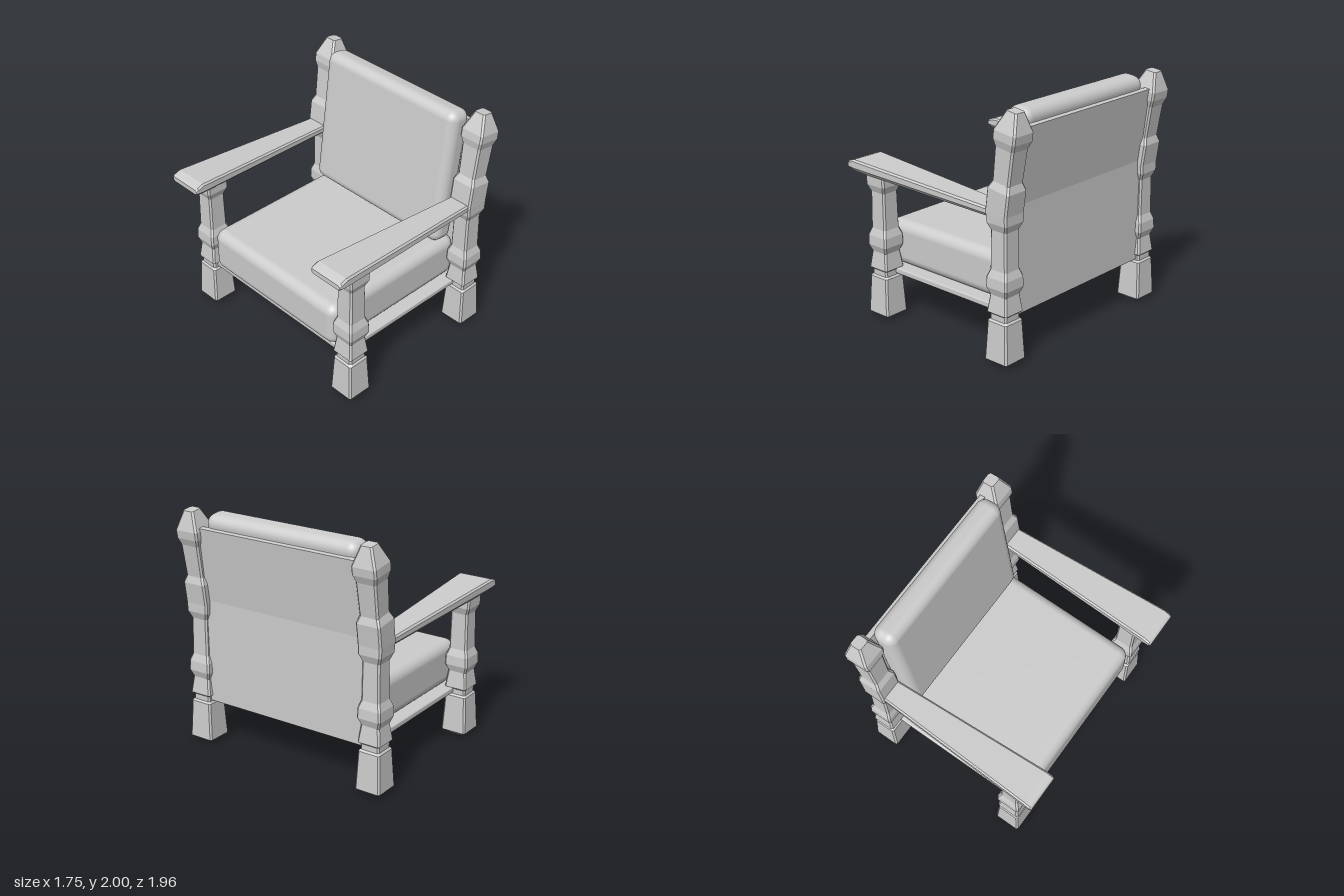
import * as THREE from 'three';
import { RoundedBoxGeometry } from 'three/addons/geometries/RoundedBoxGeometry.js';

const flat = new THREE.MeshStandardMaterial({ color: 0xcccccc, flatShading: true });
const smooth = new THREE.MeshStandardMaterial({ color: 0xcccccc });

// Skin a list of equal-length rings (counter-clockwise seen from the far end), with caps
function loft(rings) {
  const n = rings[0].length, last = (rings.length - 1) * n, index = [];
  for (let r = 0; r < rings.length - 1; r++) {
    for (let i = 0; i < n; i++) {
      const a = r * n + i, b = r * n + (i + 1) % n;
      index.push(a, b, b + n, a, b + n, a + n);
    }
  }
  for (let i = 1; i < n - 1; i++) {
    index.push(0, i + 1, i, last, last + i, last + i + 1);
  }
  const geo = new THREE.BufferGeometry();
  geo.setAttribute('position', new THREE.Float32BufferAttribute(rings.flat(2), 3));
  geo.setIndex(index);
  const out = geo.toNonIndexed();
  out.computeVertexNormals();
  return out;
}

// Square section with chamfered corners, leaning along x by the given slope
function postRing(x, y, h, slope = 0) {
  const k = h - 0.014;
  return [[h, k], [k, h], [-k, h], [-h, k], [-h, -k], [-k, -h], [k, -h], [h, -k]]
    .map(([u, v]) => [x + u, y - slope * u, -v]);
}

// Armrest section: small chamfer on top, larger one below
function armRing([x, b, t, w]) {
  const s = 0.014, c = Math.min(0.04, (t - b) * 0.4);
  return [[t, -w + s], [t, w - s], [t - s, w], [b + c, w], [b, w - c], [b, -w + c], [b + c, -w], [t - s, -w]]
    .map(([y, z]) => [x, y, z]);
}

export function createModel() {
  const group = new THREE.Group();
  const add = (name, geo, mat, x = 0, y = 0, z = 0) => {
    const mesh = new THREE.Mesh(geo, mat);
    mesh.name = name;
    mesh.position.set(x, y, z);
    group.add(mesh);
    return mesh;
  };

  // Shared foot and lower turning: [height, half width]
  const lower = [
    [0, 0.06], [0.04, 0.112], [0.355, 0.096], [0.37, 0.082], [0.415, 0.082], [0.43, 0.1],
    [0.57, 0.082], [0.63, 0.105], [0.71, 0.102], [0.77, 0.081], [1.08, 0.077], [1.14, 0.102],
  ];
  const frontLeg = loft([...lower, [1.25, 0.102]].map(([y, h]) => postRing(-0.62, y, h)));

  // Rear post leans backward above the arm
  const lean = 0.14;
  const upper = [[1.4, 0.105], [1.455, 0.082], [1.72, 0.088], [1.78, 0.106], [1.845, 0.106], [1.993, 0.05]];
  const rearPost = loft([
    ...lower.map(([y, h]) => postRing(0.68, y, h)),
    postRing(0.677, 1.22, 0.105, 0.07),
    ...upper.map(([y, h]) => postRing(0.68 + lean * (y - 1.25), y, h, lean)),
  ]);

  // Armrest stations: x, bottom, top, half width
  const arm = loft([
    [-0.88, 1.255, 1.297, 0.15], [-0.865, 1.24, 1.312, 0.158], [-0.81, 1.222, 1.33, 0.157],
    [0.62, 1.168, 1.247, 0.095],
  ].map(armRing));

  for (const side of [1, -1]) {
    const hand = side > 0 ? 'left' : 'right';
    add(hand + 'FrontLeg', frontLeg, flat, 0, 0, side * 0.825);
    add(hand + 'RearPost', rearPost, flat, 0, 0, side * 0.825);
    add(hand + 'Armrest', arm, flat, 0, 0, side * 0.82);
  }

  // Seat board
  add('seatBoard', new RoundedBoxGeometry(1.4, 0.05, 1.6, 2, 0.012), smooth, 0.035, 0.403, 0);

  // Back panel, bent where the posts start to lean
  const profile = new THREE.Shape([
    [0.735, 0.41], [0.735, 1.25], [0.82, 1.86], [0.775, 1.867], [0.69, 1.25], [0.69, 0.41],
  ].map(([x, y]) => new THREE.Vector2(x, y)));
  add('backPanel', new THREE.ExtrudeGeometry(profile, { depth: 1.56, bevelEnabled: false }), flat, 0, 0, -0.78);

  // Cushions
  add('seatCushion', new RoundedBoxGeometry(1.4, 0.38, 1.44, 6, 0.085), smooth, -0.01, 0.61, 0);
  const back = add('backCushion', new RoundedBoxGeometry(0.21, 1.18, 1.42, 6, 0.08), smooth, 0.615, 1.39, 0);
  back.rotation.z = -0.126;

  return group;
}
